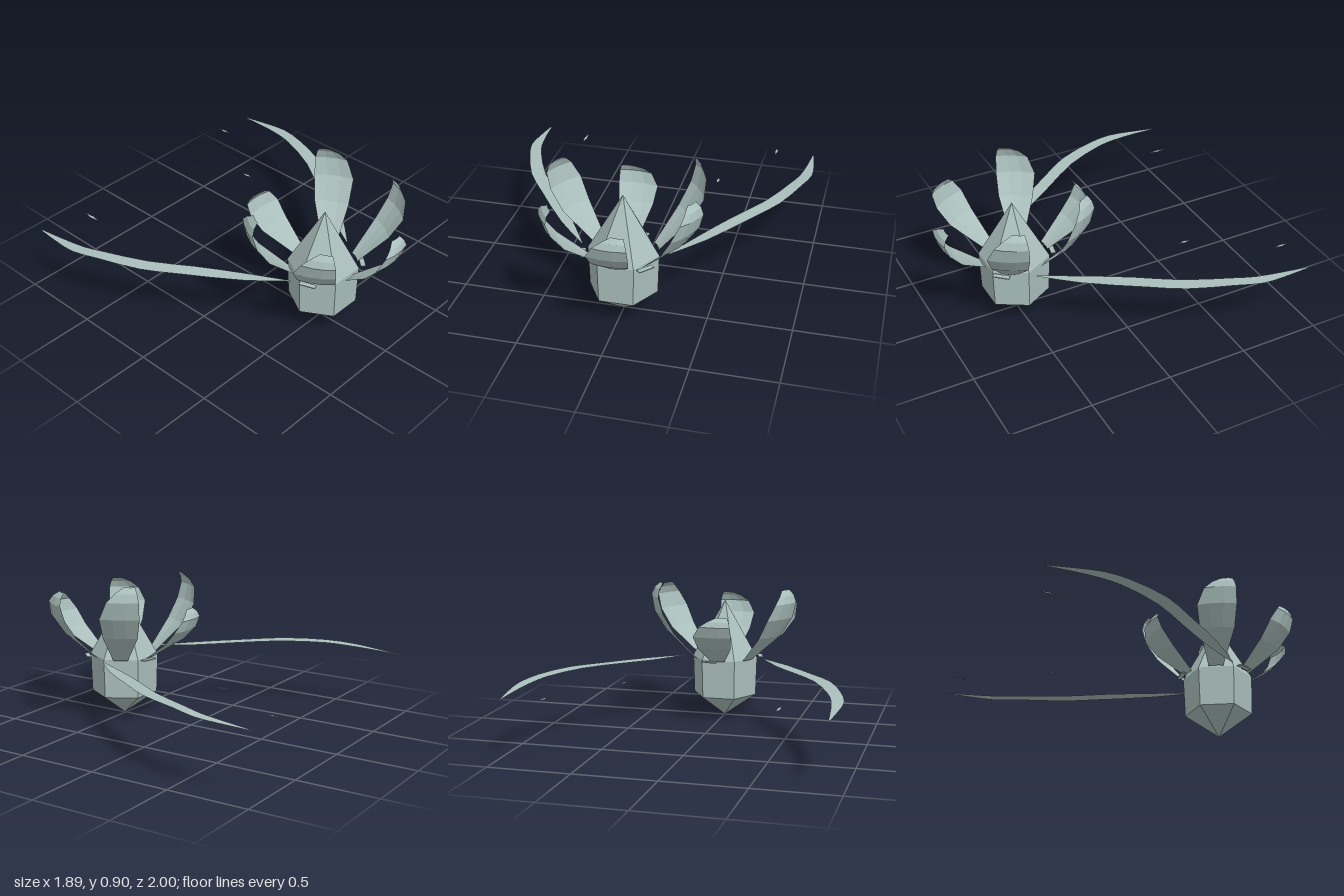
import * as THREE from 'three';

const material = new THREE.MeshStandardMaterial({ color: 0xaabfbc, flatShading: true, side: THREE.DoubleSide });

function named(geometry, name) {
  const mesh = new THREE.Mesh(geometry, material);
  mesh.name = name;
  return mesh;
}

// Thin sheet through rows of points, all rows equally long
function sheet(rows) {
  const cols = rows[0].length;
  const index = [];
  for (let i = 0; i < rows.length - 1; i++) {
    for (let j = 0; j < cols - 1; j++) {
      const a = i * cols + j;
      const b = a + cols;
      index.push(a, a + 1, b, a + 1, b + 1, b);
    }
  }
  const geometry = new THREE.BufferGeometry().setFromPoints(rows.flat());
  geometry.setIndex(index);
  geometry.computeVertexNormals();
  return geometry;
}

// Petal rows: distance from the axis, height share, left edge, right edge
const PETAL = [
  [0.205, 0, -0.045, 0.045],
  [0.385, 0.36, -0.085, 0.125],
  [0.465, 0.62, -0.095, 0.145],
  [0.49, 0.83, -0.05, 0.145],
  [0.475, 0.93, 0, 0.135],
  [0.445, 1, 0.05, 0.12],
];

function petalGeometry(height) {
  const rows = PETAL.map(([r, y, left, right]) =>
    [0, 1 / 3, 2 / 3, 1].map((u) => {
      const cup = 0.07 * (right - left) * (2 * u - 1) ** 2;
      return new THREE.Vector3(THREE.MathUtils.lerp(left, right, u), y * height, r - cup);
    }));
  return sheet(rows);
}

// Long curved leaf between an outer and an inner edge
function leafGeometry(side) {
  const outer = [[0.26, 0.39, 0.48], [0.445, 0.4, 0.285], [0.67, 0.415, -0.02], [0.8, 0.423, -0.21],
    [0.9, 0.424, -0.47], [0.945, 0.412, -0.64], [0.94, 0.402, -0.79], [0.92, 0.39, -0.97]];
  const inner = [[0.255, 0.39, 0.475], [0.4, 0.398, 0.225], [0.55, 0.412, 0], [0.71, 0.421, -0.23],
    [0.83, 0.421, -0.5], [0.87, 0.412, -0.63], [0.895, 0.402, -0.8], [0.91, 0.39, -0.97]];
  const edges = [outer, inner].map((edge) => new THREE.CatmullRomCurve3(
    edge.map(([x, y, z]) => new THREE.Vector3(x * side, y, z))).getPoints(14));
  return sheet(edges[0].map((p, i) => [p, edges[1][i]]));
}

// Flat diamond splinter
function shardGeometry(length) {
  const shape = new THREE.Shape([[0, -0.5], [0.011 / length, 0], [0, 0.5], [-0.011 / length, 0]]
    .map(([x, y]) => new THREE.Vector2(x * length, y * length)));
  return new THREE.ShapeGeometry(shape).rotateX(-Math.PI / 2);
}

export function createModel() {
  const model = new THREE.Group();
  model.name = 'crystalFlower';

  // Flower head: six-sided core with petals around it
  const flower = new THREE.Group();
  flower.name = 'flower';
  flower.position.z = 0.507;
  model.add(flower);

  const profile = [[0, 0], [0.205, 0.145], [0.213, 0.39], [0, 0.76]].map(([x, y]) => new THREE.Vector2(x, y));
  flower.add(named(new THREE.LatheGeometry(profile, 6, Math.PI / 6), 'core'));

  // Petals of differing height, from the front round through the left
  [0.355, 0.45, 0.51, 0.325, 0.47, 0.4].forEach((height, i) => {
    const petal = named(petalGeometry(height), 'petal');
    petal.position.y = 0.39;
    petal.rotation.y = (i * Math.PI) / 3;
    flower.add(petal);

    // Small tab beneath every other petal
    if (i % 2) {
      const holder = new THREE.Group();
      holder.name = 'petalTab';
      holder.rotation.y = petal.rotation.y;
      const tab = named(new THREE.BoxGeometry(0.1, 0.006, 0.03), 'tab');
      tab.position.set(-0.05, 0.39, 0.225);
      tab.rotation.y = -0.2;
      holder.add(tab);
      flower.add(holder);
    }
  });

  // Trailing leaves
  model.add(named(leafGeometry(1), 'leftLeaf'), named(leafGeometry(-1), 'rightLeaf'));

  // Loose splinters: x, z, length
  for (const [x, z, length] of [[-0.625, -0.84, 0.14], [0.67, -0.95, 0.1], [0.37, -0.455, 0.08]]) {
    const shard = named(shardGeometry(length), 'shard');
    shard.position.set(x, 0.4, z);
    model.add(shard);
  }
  return model;
}
